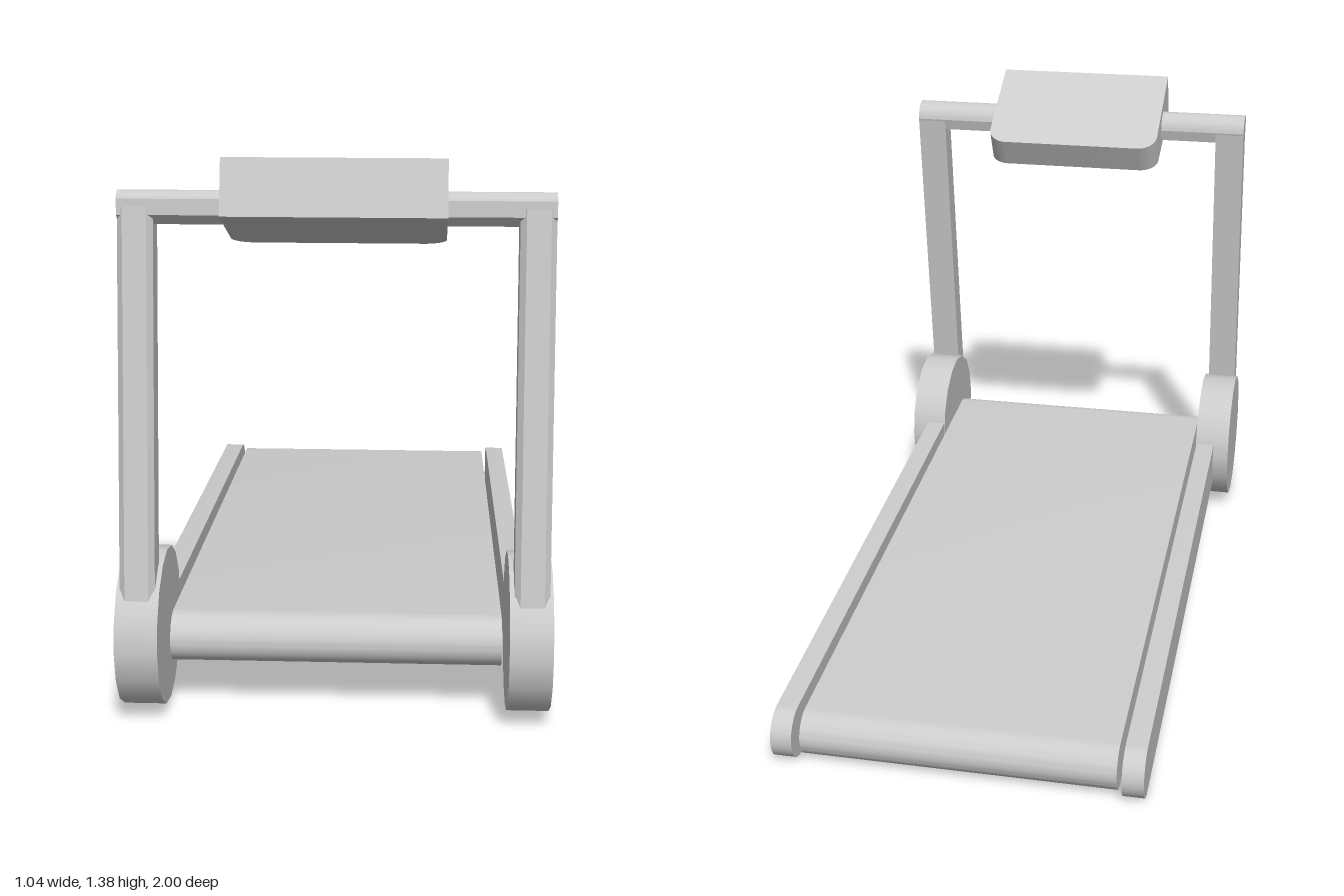
import * as THREE from 'three';
import { toCreasedNormals } from 'three/addons/utils/BufferGeometryUtils.js';

const material = new THREE.MeshStandardMaterial({ color: 0xcccccc });

function part(geometry, name, parent) {
  const mesh = new THREE.Mesh(geometry, material);
  mesh.name = name;
  parent.add(mesh);
  return mesh;
}

// Extrude a shape; curves smooth, corners sharp
function extrude(shape, depth, curveSegments = 12) {
  const g = new THREE.ExtrudeGeometry(shape, { depth, bevelEnabled: false, curveSegments });
  return toCreasedNormals(g, 0.4);
}

// Side profile drawn as (z, y), extruded across x from x0 to x1
function sideExtrude(shape, x0, x1) {
  return extrude(shape, x1 - x0).rotateY(-Math.PI / 2).translate(x1, 0, 0);
}

// Capsule outline between two (z, y) centres
function capsule(front, back, r) {
  const a = Math.atan2(front[1] - back[1], front[0] - back[0]);
  const s = new THREE.Shape();
  s.absarc(front[0], front[1], r, a - Math.PI / 2, a + Math.PI / 2);
  s.absarc(back[0], back[1], r, a + Math.PI / 2, a + Math.PI * 1.5);
  return s;
}

// Tilted post with chamfered front edges
function postGeometry() {
  const w = 0.0425, d = 0.039, c = 0.014;
  const s = new THREE.Shape([
    [-w + c, -d], [w - c, -d], [w, -d + c], [w, d], [-w, d], [-w, -d + c],
  ].map(([x, y]) => new THREE.Vector2(x, y)));
  return extrude(s, 0.96).rotateX(-Math.PI / 2 - 0.142);
}

// Handlebar section: rounded over the top and back, chamfered in front
function barShape() {
  const s = new THREE.Shape();
  s.moveTo(0.8, 1.21);
  s.lineTo(0.822, 1.235);
  s.lineTo(0.82, 1.273);
  s.quadraticCurveTo(0.813, 1.289, 0.79, 1.29);
  s.quadraticCurveTo(0.749, 1.284, 0.745, 1.242);
  s.lineTo(0.755, 1.21);
  s.closePath();
  return s;
}

// Wedge console: rounded plan outline mapped into a four-cornered side profile
function consoleGeometry() {
  const w = 0.26, rx = 0.055, ry = 0.17;
  const s = new THREE.Shape();
  s.moveTo(-w, 0);
  s.lineTo(w, 0);
  s.lineTo(w, 1 - ry);
  s.absellipse(w - rx, 1 - ry, rx, ry, 0, Math.PI / 2);
  s.absellipse(-w + rx, 1 - ry, rx, ry, Math.PI / 2, Math.PI);
  s.closePath();
  const g = new THREE.ExtrudeGeometry(s, { depth: 1, bevelEnabled: false, curveSegments: 10 });
  const corner = (z, y) => new THREE.Vector2(z, y);
  const frontLow = corner(0.928, 1.25), frontTop = corner(0.885, 1.38);
  const backLow = corner(0.645, 1.14), backTop = corner(0.6, 1.22);
  const p = g.attributes.position;
  for (let i = 0; i < p.count; i++) {
    const u = p.getY(i), v = p.getZ(i);
    const low = frontLow.clone().lerp(backLow, u);
    const q = low.lerp(frontTop.clone().lerp(backTop, u), v);
    p.setXYZ(i, p.getX(i), q.y, q.x);
  }
  return toCreasedNormals(g, 0.4);
}

export function createModel() {
  const model = new THREE.Group();
  model.name = 'treadmill';

  // Running belt
  part(sideExtrude(capsule([0.817, 0.185], [-0.917, 0.068], 0.063), -0.405, 0.405), 'runningBelt', model);

  // Rails, hub discs and posts on both sides
  for (const [side, name] of [[1, 'left'], [-1, 'right']]) {
    const rail = sideExtrude(capsule([0.8, 0.188], [-0.93, 0.07], 0.07), -0.0275, 0.0275);
    part(rail, name + 'SideRail', model).position.x = side * 0.4475;

    const hub = new THREE.CylinderGeometry(0.195, 0.195, 0.104, 16).rotateZ(Math.PI / 2);
    part(hub, name + 'Hub', model).position.set(side * 0.47, 0.206, 0.805);

    part(postGeometry(), name + 'Post', model).position.set(side * 0.4715, 0.3, 0.92);
  }

  // Handlebar and console
  part(sideExtrude(barShape(), -0.514, 0.514), 'handlebar', model);
  part(consoleGeometry(), 'console', model);

  return model;
}
